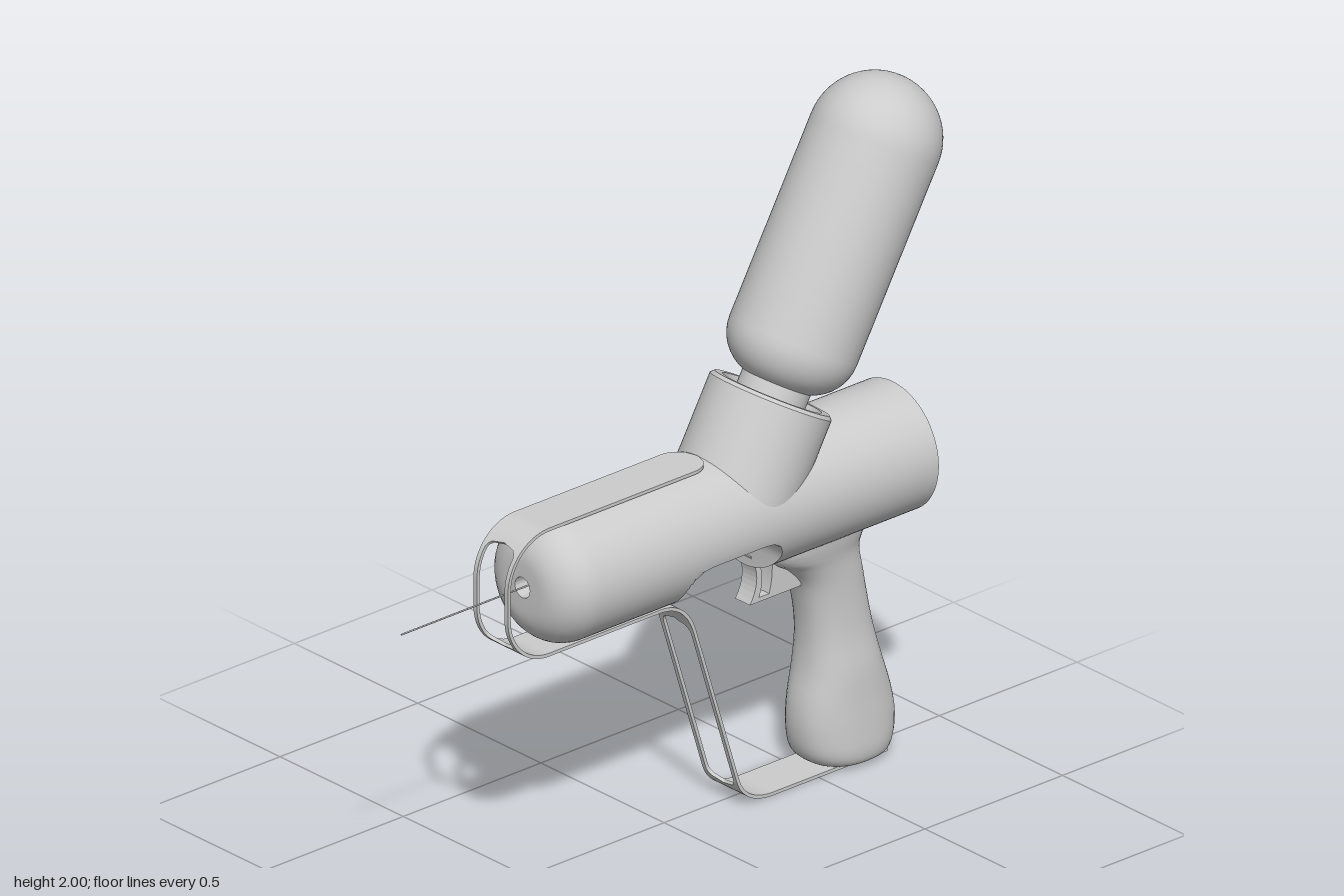
import * as THREE from 'three';
import { toCreasedNormals } from 'three/addons/utils/BufferGeometryUtils.js';

const material = new THREE.MeshStandardMaterial({ color: 0xcccccc, side: THREE.DoubleSide });
const AXIS_Y = 0.875, R = 0.188;

function addMesh(parent, name, geometry) {
  const mesh = new THREE.Mesh(geometry, material);
  mesh.name = name;
  parent.add(mesh);
  return mesh;
}

// Skin over rings of points (each counter-clockwise about the loft direction), capped at both ends
function loft(rings, crease = 0.6) {
  const n = rings[0].length, last = rings.length - 1, pos = [], index = [];
  rings.forEach(ring => ring.forEach(p => pos.push(p.x, p.y, p.z)));
  for (let i = 0; i < last; i++) {
    for (let j = 0; j < n; j++) {
      const k = (j + 1) % n, a = i * n + j, b = i * n + k;
      index.push(a, b, b + n, a, b + n, a + n);
    }
  }
  for (const i of [0, last]) {
    const c = new THREE.Vector3();
    rings[i].forEach(p => c.addScaledVector(p, 1 / n));
    const centre = pos.length / 3;
    pos.push(c.x, c.y, c.z);
    for (let j = 0; j < n; j++) {
      const a = i * n + j, b = i * n + (j + 1) % n;
      index.push(centre, ...(i === 0 ? [b, a] : [a, b]));
    }
  }
  const g = new THREE.BufferGeometry();
  g.setAttribute('position', new THREE.Float32BufferAttribute(pos, 3));
  g.setIndex(index);
  return toCreasedNormals(g, crease);
}

// Barrel: rounded front with a bore, and a finger cutout that trims the underside
function bodyGeometry() {
  const sections = [[-0.45, 0.03, -1], [-0.515, 0.03, -1]];
  for (let i = 0; i <= 10; i++) {
    const a = i / 10 * Math.PI / 2;
    sections.push([-0.395 - 0.12 * Math.cos(a), R - 0.12 + 0.12 * Math.sin(a), -1]);
  }
  const cutout = [[-0.06, -1]];
  for (let i = 0; i <= 8; i++) {
    const a = i / 8 * Math.PI / 2;
    cutout.push([0.02 - 0.08 * Math.cos(a), -0.125 + 0.08 * Math.sin(a)]);
  }
  const mirrored = cutout.map(([x, c]) => [0.23 - x, c]).reverse();
  [...cutout, ...mirrored].forEach(([x, c]) => sections.push([x, R, c]));
  sections.push([0.83, R, -1]);
  return loft(sections.map(([x, r, cut]) => {
    const ring = [];
    for (let j = 0; j < 72; j++) {
      const a = j / 72 * Math.PI * 2;
      let y = r * Math.cos(a), z = r * Math.sin(a);
      if (y < cut) {
        const half = Math.sqrt(r * r - cut * cut);
        y = cut;
        z = THREE.MathUtils.clamp(z, -half, half);
      }
      ring.push(new THREE.Vector3(x, AXIS_Y + y, z));
    }
    return ring;
  }));
}

// Grip: oval sections [y, front x, back x, half depth]
function gripGeometry() {
  const rows = [
    [0.012, 0.56, 0.74, 0.08], [0.02, 0.525, 0.77, 0.105], [0.05, 0.495, 0.788, 0.116],
    [0.12, 0.479, 0.799, 0.115], [0.2, 0.481, 0.785, 0.11], [0.3, 0.5, 0.752, 0.104],
    [0.4, 0.505, 0.725, 0.09], [0.5, 0.493, 0.705, 0.085], [0.58, 0.468, 0.69, 0.086],
    [0.635, 0.42, 0.68, 0.09], [0.665, 0.375, 0.683, 0.095], [0.7, 0.35, 0.695, 0.102],
    [0.76, 0.35, 0.7, 0.11]];
  const ends = new THREE.CatmullRomCurve3(rows.map(([y, f, b]) => new THREE.Vector3(f, y, b)));
  const depth = new THREE.CatmullRomCurve3(rows.map(([y, , , d]) => new THREE.Vector3(0, y, d)));
  const power = v => Math.sign(v) * Math.abs(v) ** 0.85;
  const rings = [];
  for (let i = 0; i <= 48; i++) {
    const e = ends.getPoint(i / 48), d = depth.getPoint(i / 48).z, ring = [];
    for (let j = 0; j < 40; j++) {
      const a = j / 40 * Math.PI * 2;
      ring.push(new THREE.Vector3(
        (e.x + e.z) / 2 + (e.z - e.x) / 2 * power(Math.sin(a)), e.y, d * power(Math.cos(a))));
    }
    rings.push(ring);
  }
  return loft(rings, 0.8);
}

// Guard strap: one half of a bent band, opened up by two rounded slots
function strapHalf(side) {
  const path = new THREE.Path();
  path.moveTo(0.12, 1.063).lineTo(-0.48, 1.063);
  path.absarc(-0.48, 0.918, 0.145, Math.PI / 2, Math.PI, false);
  path.absarc(-0.48, 0.832, 0.145, Math.PI, Math.PI * 1.5, false);
  path.lineTo(-0.08, 0.687).quadraticCurveTo(0.017, 0.687, 0.05, 0.585);
  path.lineTo(0.205, 0.09).quadraticCurveTo(0.23, 0.008, 0.34, 0.008);
  path.lineTo(0.75, 0.008);
  const N = 300, length = path.getLength(), half = 0.07, h = 0.005, corner = 0.03;
  const slots = [[0.71, 1.03], [1.7, 2.27]];
  const rings = [];
  for (let i = 0; i <= N; i++) {
    const s = i / N * length;
    const p = path.getPointAt(i / N), t = path.getTangentAt(i / N);
    const e = Math.max(half - s, 0);
    const outer = Math.max(Math.sqrt(half * half - e * e), 0.002);
    let inner = 0;
    for (const [a, b] of slots) {
      const d = Math.min(s - a, b - s);
      if (d < 0) continue;
      const k = Math.max(corner - d, 0);
      inner = 0.056 - corner + Math.sqrt(corner * corner - k * k);
    }
    const [z0, z1] = side > 0 ? [inner, outer] : [-outer, -inner];
    rings.push([[h, z0], [h, z1], [-h, z1], [-h, z0]].map(([o, z]) =>
      new THREE.Vector3(p.x - t.y * o, p.y + t.x * o, z)));
  }
  return loft(rings);
}

// Trigger: curved blade with an opening behind it
function triggerGeometry() {
  const shape = new THREE.Shape();
  shape.moveTo(0.285, 0.72).quadraticCurveTo(0.335, 0.65, 0.285, 0.575);
  shape.lineTo(0.47, 0.575).lineTo(0.47, 0.72);
  const hole = new THREE.Path();
  hole.moveTo(0.32, 0.69).quadraticCurveTo(0.34, 0.64, 0.318, 0.588);
  hole.lineTo(0.355, 0.588).quadraticCurveTo(0.37, 0.64, 0.365, 0.69);
  shape.holes.push(hole);
  const g = new THREE.ExtrudeGeometry(shape, { depth: 0.06, bevelEnabled: false, curveSegments: 10 });
  return g.translate(0, 0, -0.03);
}

function lathe(points) {
  const g = new THREE.LatheGeometry(points.map(([r, y]) => new THREE.Vector2(r, y)), 64);
  return toCreasedNormals(g, 0.5);
}

export function createModel() {
  const model = new THREE.Group();
  model.name = 'waterBlaster';

  addMesh(model, 'body', bodyGeometry());
  addMesh(model, 'grip', gripGeometry());
  addMesh(model, 'trigger', triggerGeometry());

  const strap = new THREE.Group();
  strap.name = 'guardStrap';
  for (const side of [1, -1]) addMesh(strap, side > 0 ? 'strapLeft' : 'strapRight', strapHalf(side));
  model.add(strap);

  // Thin jet leaving the bore
  const jet = addMesh(model, 'jet', new THREE.CylinderGeometry(0.0025, 0.0025, 0.5, 8));
  jet.rotation.z = Math.PI / 2;
  jet.position.set(-0.705, AXIS_Y, 0);

  // Tilted tank assembly, with its origin at the centre of the upper dome
  const tank = new THREE.Group();
  tank.name = 'tankAssembly';
  tank.position.set(0.765, 1.814, 0);
  tank.rotation.z = -Math.PI / 6;
  const profile = [[0, -0.72]];
  for (let i = 0; i <= 10; i++) {
    const a = i / 10 * Math.PI / 2;
    profile.push([0.056 + 0.13 * Math.sin(a), -0.59 - 0.13 * Math.cos(a)]);
  }
  for (let i = 0; i <= 16; i++) {
    const a = i / 16 * Math.PI / 2;
    profile.push([0.186 * Math.cos(a), 0.186 * Math.sin(a)]);
  }
  addMesh(tank, 'tank', lathe(profile));
  addMesh(tank, 'tankNeck', new THREE.CylinderGeometry(0.1, 0.1, 0.12, 48)).position.y = -0.75;
  addMesh(tank, 'tankSocket', lathe([
    [0.178, -1.08], [0.178, -0.755], [0.168, -0.745], [0.145, -0.745], [0.14, -0.775], [0, -0.775]]));
  model.add(tank);

  return model;
}
